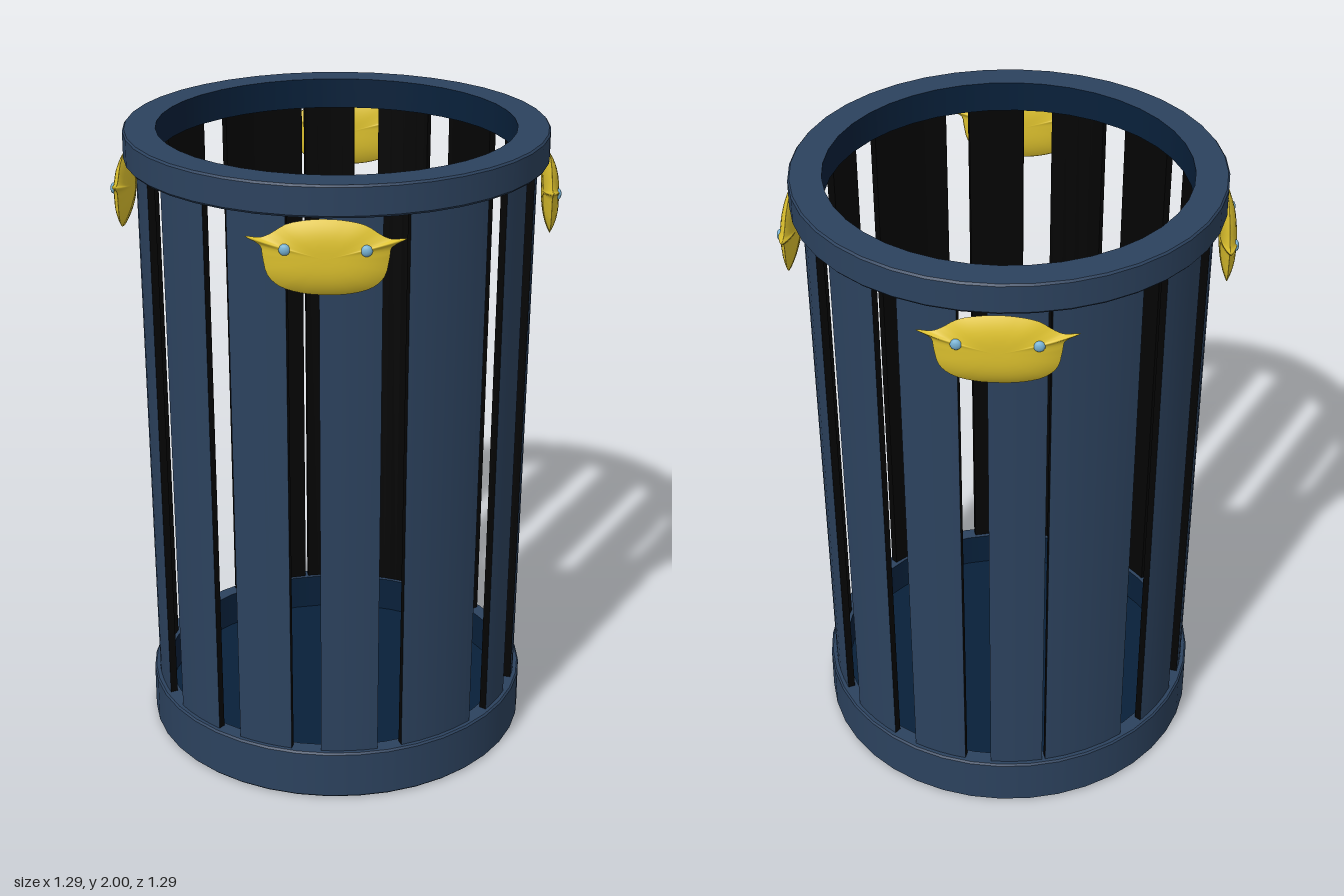
import * as THREE from 'three';
import { ParametricGeometry } from 'three/addons/geometries/ParametricGeometry.js';

const mat = (name, color, side = THREE.FrontSide) => {
  const m = new THREE.MeshStandardMaterial({ color, side });
  m.name = name;
  return m;
};

export function createModel() {
  const blue = mat('slateBlue', 0x2c425e);
  const navy = mat('deepNavy', 0x08203a);
  const black = mat('black', 0x040404, THREE.DoubleSide);
  const gold = mat('gold', 0xdec22e);
  const sky = mat('skyBlue', 0x78b3d4);

  const root = new THREE.Group();
  root.name = 'slattedBin';
  const rad = THREE.MathUtils.degToRad;

  const add = (parent, name, geometry, material) => {
    const mesh = new THREE.Mesh(geometry, material);
    mesh.name = name;
    parent.add(mesh);
    return mesh;
  };

  // One revolved strip between two [radius, height] points
  const band = (p, q, from = 0, to = 360, segments = 40) =>
    new THREE.LatheGeometry([new THREE.Vector2(...p), new THREE.Vector2(...q)],
      segments, rad(from), rad(to - from));

  // Closed ring: one crisp strip per profile edge, each with its own colour
  const ring = (name, profile, materials) => {
    const group = new THREE.Group();
    group.name = name;
    profile.forEach((p, i) =>
      add(group, name + 'Face', band(p, profile[(i + 1) % profile.length]), materials[i]));
    root.add(group);
  };

  // Top rim and base, profiles run up the outside and down the inside
  ring('topRim', [[0.638, 1.905], [0.644, 1.912], [0.644, 1.994], [0.639, 2], [0.545, 2], [0.545, 1.905]],
    [blue, blue, blue, blue, navy, blue]);
  ring('baseRing', [[0.606, 0], [0.612, 0.006], [0.612, 0.154], [0.607, 0.16], [0.56, 0.16], [0.56, 0]],
    [blue, blue, blue, blue, navy, blue]);

  // Floor inside and plate underneath
  const floor = add(root, 'floor', new THREE.CircleGeometry(0.562, 40), navy);
  floor.rotation.x = -Math.PI / 2;
  floor.position.y = 0.04;
  const underside = add(root, 'underside', new THREE.CircleGeometry(0.562, 40), sky);
  underside.rotation.x = Math.PI / 2;
  underside.position.y = 0.003;

  // Upright slats: start and end angle in degrees, measured from the front towards +x
  const slats = [
    [-22.5, 3], [11.5, 24], [33, 47], [55, 72.5], [81, 99], [107, 124], [132, 148],
    [149, 175.5], [184.5, 202.5], [211, 226], [235, 252], [261, 279], [287, 304], [313, 330],
  ];
  const y0 = 0.12, y1 = 1.93, r0 = 0.594, r1 = 0.608, thick = 0.023;
  const slatEdge = (angle) => {
    const s = Math.sin(rad(angle)), c = Math.cos(rad(angle));
    const g = new THREE.BufferGeometry();
    const pts = [[r0 - thick, y0], [r0, y0], [r1, y1], [r1 - thick, y1]];
    g.setAttribute('position', new THREE.Float32BufferAttribute(
      pts.flatMap(([r, y]) => [r * s, y, r * c]), 3));
    g.setIndex([0, 1, 2, 0, 2, 3]);
    g.computeVertexNormals();
    return g;
  };
  for (const [a, b] of slats) {
    const slat = new THREE.Group();
    slat.name = 'slat';
    add(slat, 'slatOuter', band([r0, y0], [r1, y1], a, b, 4), blue);
    add(slat, 'slatInner', band([r1 - thick, y1], [r0 - thick, y0], a, b, 4), black);
    add(slat, 'slatEdge', slatEdge(a), black);
    add(slat, 'slatEdge', slatEdge(b), black);
    root.add(slat);
  }

  // Mask outline, right half from the bottom to the top, then mirrored
  const half = [[0.07, -0.107], [0.13, -0.088], [0.163, -0.055], [0.176, 0.0], [0.182, 0.03],
    [0.224, 0.056], [0.182, 0.054], [0.155, 0.064], [0.11, 0.092], [0.05, 0.105]];
  const loop = [[0, -0.112], ...half, [0, 0.108], ...half.map(([x, y]) => [-x, y]).reverse()];
  const outline = new THREE.CatmullRomCurve3(
    loop.map(([x, y]) => new THREE.Vector3(x, y, 0)), true, 'centripetal');

  // Flat-fronted lens: outline shrinks to the centre on both sides
  const point = new THREE.Vector3();
  const maskGeometry = new ParametricGeometry((u, v, target) => {
    const s = Math.sin(u * Math.PI);
    outline.getPoint(v % 1, point);
    const depth = (1 - s ** 3) * (u < 0.5 ? 0.028 : -0.022);
    target.set(point.x * s, point.y * s, depth);
  }, 18, 66);
  const eyeGeometry = new THREE.SphereGeometry(0.017, 12, 8);

  // Four masks around the rim
  for (let i = 0; i < 4; i++) {
    const angle = rad(45 + 90 * i);
    const mask = new THREE.Group();
    mask.name = 'mask';
    add(mask, 'maskFace', maskGeometry, gold);
    for (const side of [-1, 1]) {
      const eye = add(mask, 'eye', eyeGeometry, sky);
      eye.position.set(side * 0.113, 0.025, 0.02);
      eye.scale.z = 0.6;
    }
    mask.position.set(Math.sin(angle) * 0.646, 1.797, Math.cos(angle) * 0.646);
    mask.rotation.y = angle;
    root.add(mask);
  }
  return root;
}
